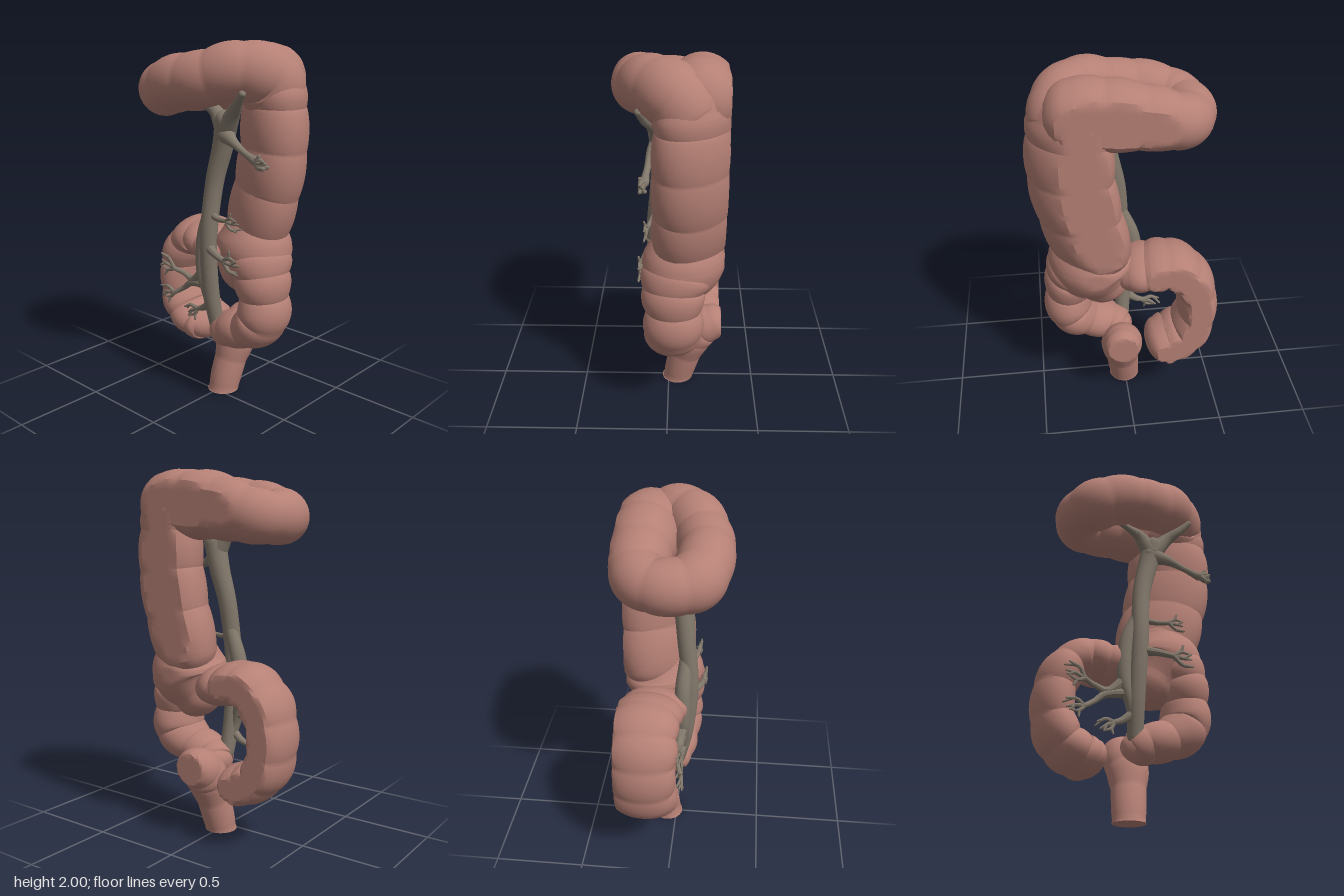
import * as THREE from 'three';
import { toCreasedNormals } from 'three/addons/utils/BufferGeometryUtils.js';

const BACK = -0.302; // flat rear plane
const flesh = new THREE.MeshStandardMaterial({ color: 0xb58075 });
flesh.name = 'intestine flesh';
const vessel = new THREE.MeshStandardMaterial({ color: 0x81776a });
vessel.name = 'vessel grey';

// Round-ended tube through points [x, y, z, radius]; pouches adds ring-shaped bulges,
// skew slides the front of the section towards +x
function tube(points, { sides = 36, steps = 80, pouches = 0, depth = 0.07, zScale = 1, skew = 0 } = {}) {
  const path = new THREE.CatmullRomCurve3(points.map(p => new THREE.Vector3(p[0], p[1], p[2])), false, 'catmullrom');
  const radii = new THREE.CatmullRomCurve3(points.map(p => new THREE.Vector3(p[3], 0, 0)), false, 'catmullrom');
  const rings = [];
  const capSteps = 6;
  const radiusAt = u => {
    const bulge = pouches ? 1 - depth + depth * 1.35 * Math.abs(Math.sin(Math.PI * u * pouches)) ** 0.8 : 1;
    return radii.getPoint(u).x * bulge;
  };
  const addCap = (u, sign) => {
    const r = radiusAt(u), list = [];
    for (let k = 1; k <= capSteps; k++) {
      const a = (k / capSteps) * Math.PI / 2;
      list.push({ u, push: sign * r * Math.sin(a) * 0.8, r: Math.max(r * Math.cos(a), 0.0005) });
    }
    return list;
  };
  rings.push(...addCap(0, -1).reverse());
  for (let i = 0; i <= steps; i++) rings.push({ u: i / steps, push: 0, r: radiusAt(i / steps) });
  rings.push(...addCap(1, 1));

  const pos = [], index = [];
  const n = new THREE.Vector3(0.31, 0.17, 0.93), b = new THREE.Vector3(), v = new THREE.Vector3();
  rings.forEach(({ u, push, r }, i) => {
    const t = path.getTangent(u), c = path.getPoint(u).addScaledVector(t, push);
    n.addScaledVector(t, -n.dot(t)).normalize();
    b.crossVectors(t, n);
    for (let j = 0; j < sides; j++) {
      const a = (j / sides) * Math.PI * 2;
      v.copy(n).multiplyScalar(Math.cos(a) * r).addScaledVector(b, Math.sin(a) * r);
      const z = Math.max(c.z + v.z * zScale, BACK);
      pos.push(c.x + v.x + skew * (z - c.z), Math.max(c.y + v.y, 0), z);
      if (i < rings.length - 1) {
        const k = (j + 1) % sides, p = i * sides, q = p + sides;
        index.push(p + j, p + k, q + j, p + k, q + k, q + j);
      }
    }
  });
  const g = new THREE.BufferGeometry();
  g.setAttribute('position', new THREE.Float32BufferAttribute(pos, 3));
  g.setIndex(index);
  return toCreasedNormals(g, 0.5);
}

export function createModel() {
  const root = new THREE.Group();
  root.name = 'intestine';
  const add = (name, geometry, material, parent = root) => {
    const m = new THREE.Mesh(geometry, material);
    m.name = name;
    parent.add(m);
  };

  // Wide upright colon
  add('uprightColon', tube([
    [0.19, 1.02, -0.12, 0.205], [0.245, 1.23, -0.13, 0.21], [0.285, 1.46, -0.13, 0.21],
    [0.285, 1.67, -0.13, 0.2], [0.285, 1.79, -0.13, 0.185],
  ], { pouches: 4, steps: 96, depth: 0.04, skew: 0.35 }), flesh);

  // Blind pouch at its foot
  add('blindPouch', tube([
    [0.13, 0.77, -0.08, 0.155], [0.185, 0.86, -0.085, 0.215], [0.2, 0.94, -0.09, 0.22], [0.2, 1.04, -0.1, 0.17],
  ], { steps: 40, skew: 0.15 }), flesh);

  // Horizontal loop at the top
  add('upperLoop', tube([
    [0.31, 1.73, -0.1, 0.17], [0.3, 1.82, -0.04, 0.165], [0.2, 1.85, 0.07, 0.15], [0.05, 1.81, 0.135, 0.145],
    [-0.12, 1.79, 0.155, 0.14], [-0.27, 1.74, 0.11, 0.145], [-0.325, 1.73, -0.03, 0.135],
    [-0.26, 1.74, -0.15, 0.14], [-0.1, 1.775, -0.17, 0.16], [0.1, 1.8, -0.165, 0.18], [0.27, 1.8, -0.15, 0.185],
  ], { pouches: 11, steps: 132, depth: 0.04 }), flesh);

  // Lower bend from the pouch towards the outlet
  add('lowerBend', tube([
    [0.27, 0.87, -0.05, 0.16], [0.305, 0.78, -0.03, 0.145], [0.32, 0.66, -0.03, 0.13],
    [0.315, 0.53, -0.03, 0.135], [0.21, 0.45, -0.02, 0.115], [0.09, 0.415, -0.03, 0.105], [0.04, 0.38, -0.06, 0.1],
  ], { pouches: 6, steps: 84, zScale: 1.2, depth: 0.07 }), flesh);

  // Outlet, cut flat at the base
  add('outlet', tube([
    [0.005, -0.12, -0.05, 0.088], [0.005, 0.02, -0.06, 0.088], [0.02, 0.18, -0.1, 0.095],
    [0.03, 0.3, -0.14, 0.115], [0.03, 0.37, -0.19, 0.115], [0.035, 0.41, -0.26, 0.105],
  ], { pouches: 5, steps: 60, depth: 0.03 }), flesh);

  // Narrow side loop
  add('sideLoop', tube([
    [-0.02, 0.84, -0.1, 0.11], [-0.13, 0.865, -0.13, 0.115], [-0.25, 0.88, -0.15, 0.115], [-0.36, 0.78, -0.15, 0.115],
    [-0.4, 0.6, -0.15, 0.11], [-0.36, 0.43, -0.15, 0.115], [-0.26, 0.35, -0.15, 0.115], [-0.19, 0.34, -0.16, 0.11],
  ], { pouches: 8, steps: 96, zScale: 1.65, depth: 0.06 }), flesh);

  // Vessels
  const vessels = new THREE.Group();
  vessels.name = 'vessels';
  root.add(vessels);
  const vein = (name, points, sides = 14, steps = 30) => add(name, tube(points, { sides, steps }), vessel, vessels);

  vein('mainTrunk', [
    [0.01, 0.43, 0.01, 0.042], [0.0, 0.65, 0.05, 0.048], [0.01, 0.95, 0.075, 0.048], [0.03, 1.25, 0.05, 0.05],
    [0.075, 1.45, 0.035, 0.056], [0.11, 1.6, 0.04, 0.062],
  ], 20, 50);
  vein('sideTrunk', [
    [0.01, 1.12, 0.05, 0.035], [-0.05, 0.95, 0.04, 0.045], [-0.065, 0.75, 0.04, 0.042],
    [-0.03, 0.6, 0.04, 0.03], [0.0, 0.5, 0.02, 0.03],
  ], 16);
  vein('upperRightBranch', [[0.1, 1.55, 0.04, 0.06], [0.03, 1.64, 0.045, 0.035], [-0.05, 1.67, 0.06, 0.02], [-0.13, 1.69, 0.08, 0.015]]);
  vein('upperLeftBranch', [[0.1, 1.55, 0.04, 0.06], [0.18, 1.64, 0.07, 0.038], [0.24, 1.69, 0.11, 0.026], [0.3, 1.75, 0.14, 0.018]]);
  vein('middleBranch', [[0.09, 1.53, 0.04, 0.058], [0.18, 1.5, 0.08, 0.03], [0.28, 1.455, 0.1, 0.017], [0.37, 1.42, 0.11, 0.024]]);

  // Branch ending in a fan of crooked twigs; heading is the angle in the front plane
  const branch = (name, points, heading, size) => {
    vein(name, points, 10, 20);
    const [x, y, z, r] = points[points.length - 1];
    [-0.75, -0.1, 0.6].forEach((spread, i) => {
      const a = heading + spread, l = size * (1 - 0.15 * i);
      const at = (d, angle, dz, rad) => [x + Math.cos(angle) * d, y + Math.sin(angle) * d, z + dz, rad];
      const mid = at(l * 0.55, a, 0.008, r * 0.7);
      vein(name + 'Twig', [[x, y, z, r], mid, at(l, a - spread * 0.6, 0.012 * (i - 1), r * 0.4)], 8, 8);
      vein(name + 'Tip', [mid, at(l * 0.95, a + 0.3, 0.015, r * 0.4)], 6, 4);
    });
  };
  branch('middleTuft', [[0.34, 1.43, 0.11, 0.016], [0.375, 1.42, 0.115, 0.024]], 0, 0.065);
  branch('leftBranchHigh', [[0.02, 1.09, 0.07, 0.022], [0.1, 1.075, 0.095, 0.015], [0.17, 1.08, 0.11, 0.012]], 0, 0.1);
  branch('leftBranchLow', [[0.02, 0.9, 0.08, 0.03], [0.1, 0.885, 0.12, 0.02], [0.18, 0.87, 0.14, 0.015]], 0, 0.125);
  branch('rightBranchHigh', [[-0.06, 0.73, 0.04, 0.035], [-0.15, 0.66, 0.03, 0.022], [-0.23, 0.68, 0.03, 0.015], [-0.29, 0.7, 0.05, 0.013]], 2.9, 0.125);
  branch('rightBranchMiddle', [[-0.03, 0.66, 0.04, 0.03], [-0.16, 0.64, 0.03, 0.022], [-0.23, 0.59, 0.03, 0.015], [-0.29, 0.55, 0.05, 0.013]], 3.35, 0.11);
  branch('rightBranchLow', [[0.0, 0.56, 0.04, 0.03], [-0.07, 0.51, 0.03, 0.02], [-0.12, 0.49, 0.03, 0.014]], 3.7, 0.1);

  return root;
}
